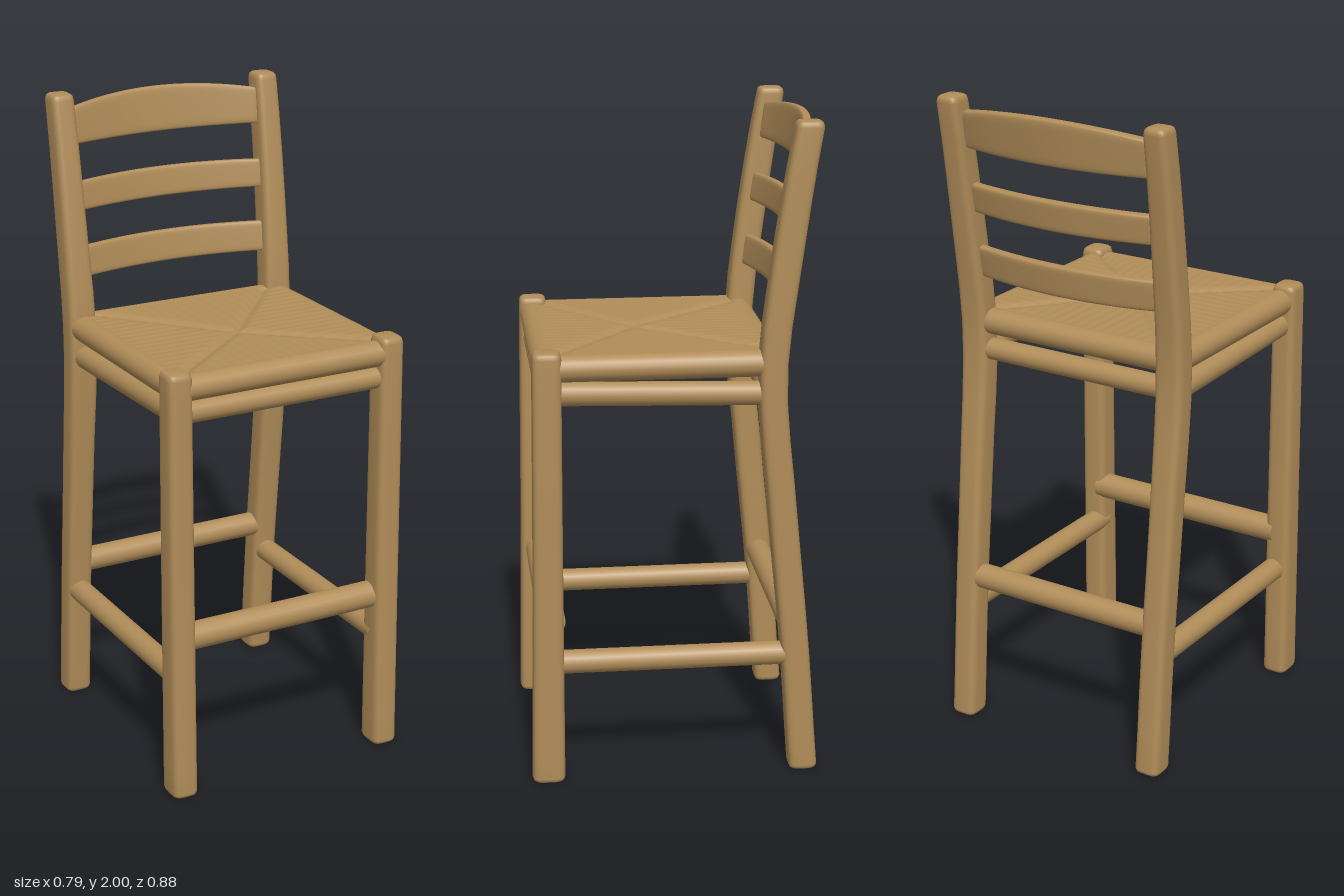
import * as THREE from 'three';

const wood = new THREE.MeshStandardMaterial({ color: 0xb18d59 });
wood.name = 'honey wood';

// Lofts rounded-rectangle rings; each section is { c: centre, u: [dir], v: [dir], a, b } with u x v along the sweep
function loft(sections, power = 0.5, n = 28) {
  const pos = [], idx = [];
  const soft = (t) => Math.sign(t) * Math.pow(Math.abs(t), power);
  for (const s of sections) {
    for (let j = 0; j < n; j++) {
      const t = (j / n) * Math.PI * 2;
      const p = soft(Math.cos(t)) * s.a, q = soft(Math.sin(t)) * s.b;
      for (let k = 0; k < 3; k++) pos.push(s.c[k] + s.u[k] * p + s.v[k] * q);
    }
  }
  const m = sections.length;
  for (let i = 0; i < m - 1; i++) {
    for (let j = 0; j < n; j++) {
      const a = i * n + j, b = i * n + ((j + 1) % n);
      idx.push(a, b, a + n, b, b + n, a + n);
    }
  }
  // End caps
  [0, m - 1].forEach((i, end) => {
    const centre = pos.length / 3;
    pos.push(...sections[i].c);
    for (let j = 0; j < n; j++) {
      const a = i * n + j, b = i * n + ((j + 1) % n);
      if (end) idx.push(centre, a, b); else idx.push(centre, b, a);
    }
  });
  const g = new THREE.BufferGeometry();
  g.setAttribute('position', new THREE.Float32BufferAttribute(pos, 3));
  g.setIndex(idx);
  g.computeVertexNormals();
  return g;
}

// Upright post through rows of [y, x, z, halfDepth, halfWidth], with softened ends
function post(rows) {
  const curve = (k) => new THREE.CatmullRomCurve3(rows.map((r) => new THREE.Vector3(r[0], r[k], r[k + 1])));
  const path = curve(1), size = curve(3);
  const y0 = rows[0][0], y1 = rows[rows.length - 1][0];
  const sections = [];
  const add = (t, y, shrink) => {
    const p = path.getPoint(t), s = size.getPoint(t);
    sections.push({ c: [p.y, y ?? p.x, p.z], u: [0, 0, 1], v: [1, 0, 0], a: s.y * shrink, b: s.z * shrink });
  };
  add(0, y0, 0.8);
  add(0, y0 + 0.004, 0.92);
  add(0, y0 + 0.014, 1);
  for (let i = 1; i < 16; i++) add(i / 16, null, 1);
  add(1, y1 - 0.018, 1);
  add(1, y1 - 0.005, 0.92);
  add(1, y1, 0.76);
  return loft(sections);
}

// Round bar between two points
function bar(from, to, rx, ry = rx) {
  const a = new THREE.Vector3(...from), b = new THREE.Vector3(...to);
  const g = new THREE.CylinderGeometry(1, 1, a.distanceTo(b), 20);
  const along = b.clone().sub(a).normalize();
  const side = new THREE.Vector3(0, 1, 0).cross(along).normalize();
  const up = along.clone().cross(side);
  g.scale(rx, 1, ry);
  g.applyMatrix4(new THREE.Matrix4().makeBasis(side, along, up.negate()).setPosition(a.add(b).multiplyScalar(0.5)));
  return g;
}

// Bowed, leaning back slat
function slat(y, height, zEnd, bow, arch) {
  const sections = [];
  for (let i = 0; i <= 24; i++) {
    const x = -0.33 + (0.66 * i) / 24, k = 1 - (x / 0.33) ** 2;
    const h = height + arch * k;
    sections.push({
      c: [x, y + (arch * k) / 2, zEnd - bow * k],
      u: [0, 0.99, -0.14], v: [0, 0.14, 0.99], a: h / 2, b: 0.015,
    });
  }
  return loft(sections, 0.35);
}

// Woven seat top: four wedges meeting in creases, with faint cord ripples
function wovenTop() {
  const g = new THREE.PlaneGeometry(0.69, 0.66, 80, 80);
  g.rotateX(-Math.PI / 2);
  g.translate(0, 0, 0.045);
  const hub = new THREE.Vector3(0, 0, 0.09);
  const creases = [[0.33, 0.36], [-0.33, 0.36], [0.31, -0.28], [-0.31, -0.28]]
    .map(([x, z]) => new THREE.Line3(hub, new THREE.Vector3(x, 0, z)));
  const p = g.attributes.position, v = new THREE.Vector3(), near = new THREE.Vector3();
  for (let i = 0; i < p.count; i++) {
    v.fromBufferAttribute(p, i);
    const d = Math.min(...creases.map((l) => l.closestPointToPoint(v, true, near).distanceTo(v)));
    const reach = v.z > 0.09 ? 0.27 : 0.37;
    const sideWedge = Math.abs(v.x) / 0.32 > Math.abs(v.z - 0.09) / reach;
    const ripple = 0.0008 * Math.sin((sideWedge ? v.z : v.x) * 180);
    p.setY(i, 1.331 - 0.009 * Math.exp(-((d / 0.016) ** 2)) + ripple);
  }
  g.computeVertexNormals();
  return g;
}

export function createModel() {
  const chair = new THREE.Group();
  chair.name = 'barChair';
  const add = (name, geometry) => {
    const mesh = new THREE.Mesh(geometry, wood);
    mesh.name = name;
    chair.add(mesh);
  };

  for (const [s, side] of [[1, 'left'], [-1, 'right']]) {
    // Legs; the rear pair continues up as the back posts
    add(side + 'FrontLeg', post([
      [0, s * 0.354, 0.389, 0.05, 0.041],
      [0.7, s * 0.354, 0.382, 0.045, 0.041],
      [1.345, s * 0.354, 0.377, 0.043, 0.039],
    ]));
    add(side + 'BackPost', post([
      [0, s * 0.344, -0.394, 0.044, 0.042],
      [0.4, s * 0.344, -0.364, 0.043, 0.042],
      [0.85, s * 0.345, -0.319, 0.043, 0.043],
      [1.25, s * 0.345, -0.286, 0.042, 0.046],
      [1.6, s * 0.349, -0.322, 0.044, 0.041],
      [2, s * 0.351, -0.381, 0.041, 0.037],
    ]));
    // Side rails and rungs
    add(side + 'SeatEdge', bar([s * 0.345, 1.292, 0.375], [s * 0.345, 1.292, -0.285], 0.041, 0.04));
    add(side + 'SeatRail', bar([s * 0.345, 1.217, 0.375], [s * 0.345, 1.2, -0.285], 0.034, 0.036));
    add(side + 'Rung', bar([s * 0.346, 0.378, 0.38], [s * 0.346, 0.378, -0.36], 0.036));
  }

  // Front and back rails and rungs
  add('frontSeatEdge', bar([-0.34, 1.292, 0.376], [0.34, 1.292, 0.376], 0.042, 0.04));
  add('backSeatEdge', bar([-0.34, 1.292, -0.28], [0.34, 1.292, -0.28], 0.041, 0.04));
  add('frontSeatRail', bar([-0.34, 1.217, 0.375], [0.34, 1.217, 0.375], 0.034));
  add('backSeatRail', bar([-0.34, 1.205, -0.285], [0.34, 1.205, -0.285], 0.034));
  add('frontRung', bar([-0.34, 0.505, 0.372], [0.34, 0.505, 0.372], 0.042));
  add('backRung', bar([-0.34, 0.47, -0.357], [0.34, 0.47, -0.357], 0.039));

  // Woven seat panels
  add('seatTop', wovenTop());
  const under = new THREE.PlaneGeometry(0.69, 0.66);
  under.rotateX(Math.PI / 2);
  under.translate(0, 1.256, 0.045);
  add('seatUnderside', under);

  // Ladder back
  add('topSlat', slat(1.9, 0.11, -0.36, 0.05, 0.03));
  add('middleSlat', slat(1.69, 0.088, -0.328, 0.05, 0.004));
  add('lowerSlat', slat(1.49, 0.095, -0.303, 0.05, 0.002));
  return chair;
}
